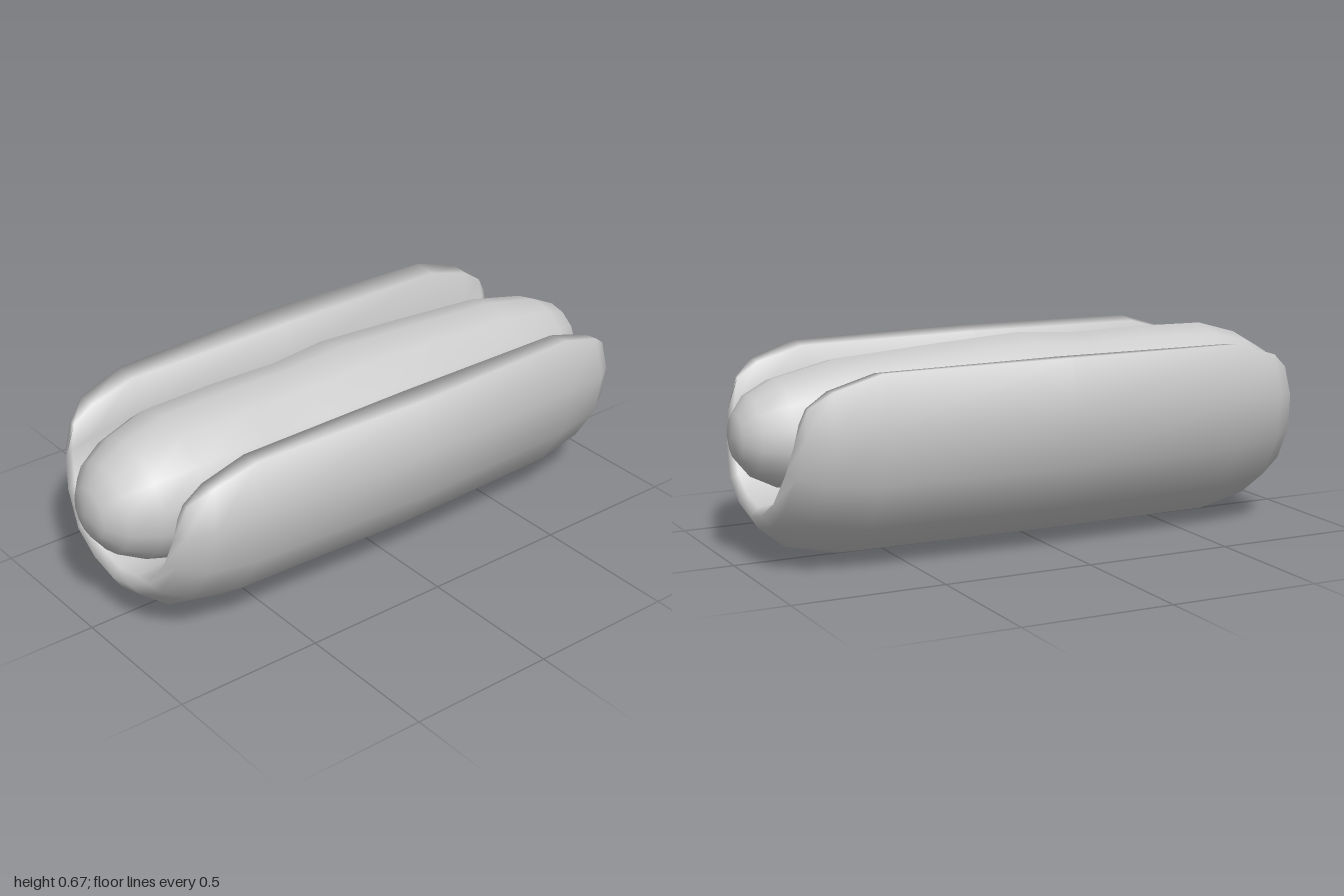
import * as THREE from 'three';
import { mergeVertices } from 'three/addons/utils/BufferGeometryUtils.js';

// Skins closed rings (counter-clockwise seen from +z, ordered by rising z)
function loft(rings) {
  const n = rings[0].length, index = [];
  for (let j = 0; j < rings.length - 1; j++) {
    for (let i = 0; i < n; i++) {
      const a = j * n + i, b = j * n + (i + 1) % n;
      index.push(a, b, a + n, b, b + n, a + n);
    }
  }
  const geo = new THREE.BufferGeometry();
  geo.setAttribute('position', new THREE.Float32BufferAttribute(rings.flat(2), 3));
  geo.setIndex(index);
  const merged = mergeVertices(geo, 1e-4);
  merged.computeVertexNormals();
  return merged;
}

// Bun: half sections from the bottom centre up to the rim
const OUTER = [[0, 0], [0.155, 0.04], [0.3, 0.14], [0.405, 0.29], [0.44, 0.47], [0.405, 0.645]];
const INNER = [[0, 0.19], [0.1, 0.21], [0.195, 0.257], [0.265, 0.37], [0.298, 0.5], [0.303, 0.635]];
// distance from middle, outer pinch, inner pinch, width scale, rim drop
const STATIONS = [
  [0, 0, 0, 1, 0], [0.64, 0, 0, 0.935, 0.005], [0.815, 0.27, 0, 0.95, 0.05],
  [0.9, 0.72, 0.3, 0.94, 0.1], [0.927, 1, 1, 0.93, 0.15],
];

function bunRing([d, po, pi, sx, drop], side) {
  const place = (own, other, pinch, share) => own.map(([x, y], i) => {
    const k = pinch * share;
    const px = (x + (other[i][0] - x) * k) * (own === OUTER ? sx : 1 + (sx - 1) * pinch);
    let py = y + (other[i][1] - y) * k;
    const up = Math.max(0, (py - 0.2) / 0.445); // ends lean in towards the rim
    py -= drop * up * up;
    return [px, py, side * (d - 0.055 * up * (d / 0.927) ** 4) - 0.015];
  });
  const outer = place(OUTER, INNER, po, 0.8);
  const inner = place(INNER, OUTER, pi, 0.2);
  const flip = ([x, y, z]) => [-x, y, z];
  return [
    ...outer.slice(1).reverse().map(flip), ...outer,
    ...inner.slice().reverse(), ...inner.slice(1).map(flip),
  ];
}

// Sausage: z, radius, centre height
const SAUSAGE = [
  [-1, 0, 0.41], [-0.985, 0.075, 0.41], [-0.94, 0.13, 0.41], [-0.85, 0.175, 0.41],
  [-0.64, 0.212, 0.42], [-0.3, 0.235, 0.42], [0, 0.252, 0.42], [0.2, 0.237, 0.42],
  [0.45, 0.242, 0.42], [0.7, 0.24, 0.417], [0.84, 0.2, 0.417], [0.93, 0.15, 0.415],
  [0.98, 0.085, 0.415], [1, 0, 0.415],
];

function sausageRing([z, r, cy]) {
  return Array.from({ length: 14 }, (_, i) => {
    const a = Math.PI / 2 + i * Math.PI / 7;
    return [r * Math.cos(a), cy + r * Math.sin(a), z];
  });
}

export function createModel() {
  const group = new THREE.Group();
  const material = new THREE.MeshStandardMaterial({ color: 0xcccccc });
  const add = (name, rings) => {
    const mesh = new THREE.Mesh(loft(rings), material);
    mesh.name = name;
    group.add(mesh);
  };
  const back = STATIONS.slice(1).reverse().map((s) => bunRing(s, -1));
  add('bun', [...back, ...STATIONS.map((s) => bunRing(s, 1))]);
  add('sausage', SAUSAGE.map(sausageRing));
  return group;
}
